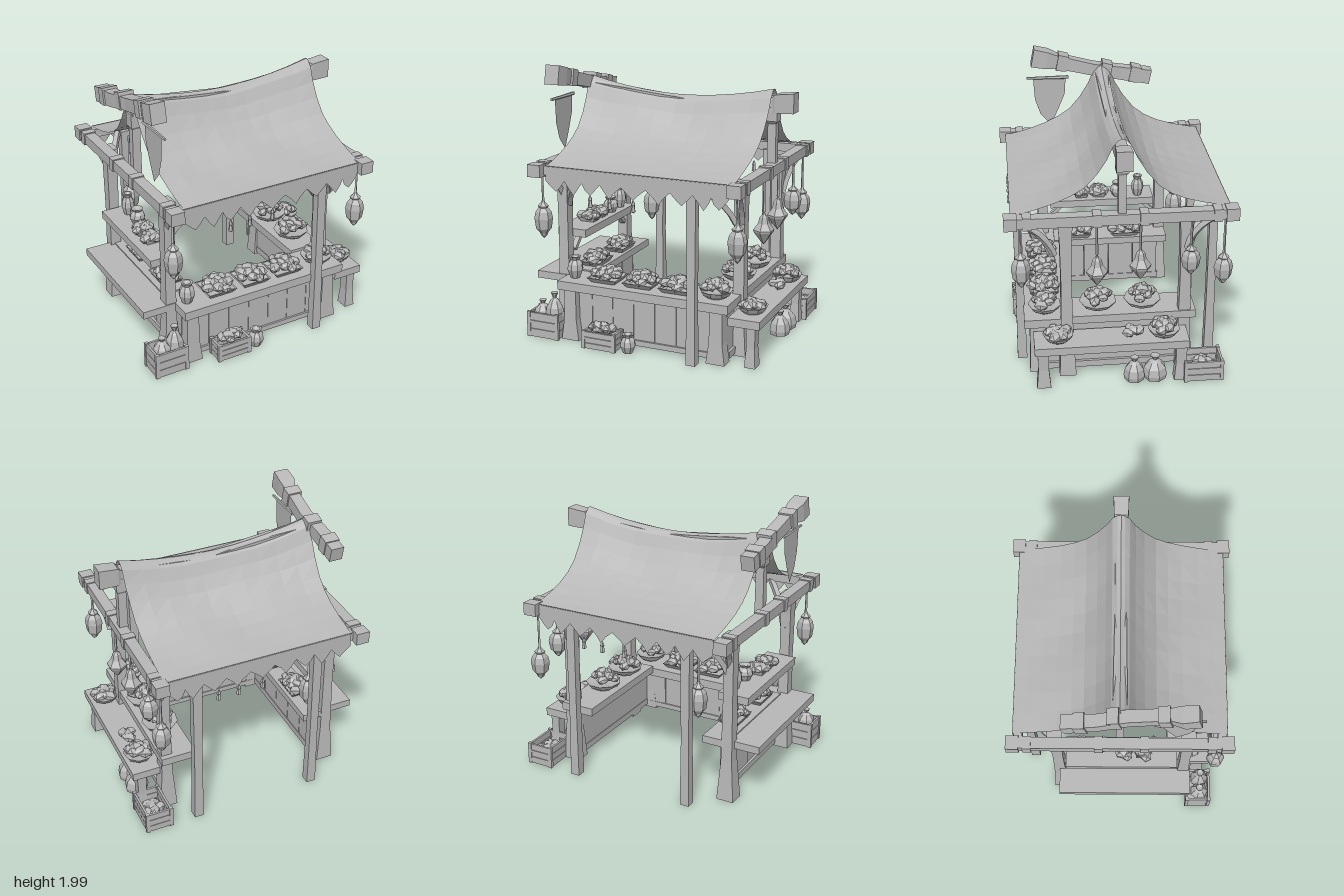
import * as THREE from 'three';

export function createModel() {
  const model = new THREE.Group();
  const grey = new THREE.MeshStandardMaterial({ color: 0xb8b8b8, flatShading: true, side: THREE.DoubleSide });
  let seed = 7;
  const rnd = () => (seed = (seed * 16807) % 2147483647) / 2147483647;
  const vary = (a, b) => a + (b - a) * rnd();

  function add(name, geometry, x = 0, y = 0, z = 0, parent = model) {
    const mesh = new THREE.Mesh(geometry, grey);
    mesh.name = name;
    mesh.position.set(x, y, z);
    parent.add(mesh);
    return mesh;
  }
  // Box given by its extents
  const block = (name, x0, x1, y0, y1, z0, z1) => add(name,
    new THREE.BoxGeometry(x1 - x0, y1 - y0, z1 - z0), (x0 + x1) / 2, (y0 + y1) / 2, (z0 + z1) / 2);

  // Squared timber through sections [y, width, depth, offsetX, offsetZ]
  function timber(sections) {
    const n = sections.length - 1;
    const g = new THREE.BoxGeometry(1, 1, 1, 1, n, 1), p = g.attributes.position;
    for (let i = 0; i < p.count; i++) {
      const [y, w, d, ox = 0, oz = 0] = sections[Math.round((p.getY(i) + 0.5) * n)];
      p.setXYZ(i, p.getX(i) * w + ox, y, p.getZ(i) * d + oz);
    }
    return g;
  }
  const lathe = (pts, sides) => new THREE.LatheGeometry(pts.map(([r, y]) => new THREE.Vector2(r, y)), sides);

  // Posts: slim ones under the eaves, flared ones at the counters
  for (const [x, z] of [[0.42, 0.7], [-0.45, -0.68], [0.47, -0.68]])
    add('slimPost', timber([[0, 0.07, 0.07], [0.5, 0.06, 0.06], [1.26, 0.07, 0.06]]), x, 0, z);
  for (const [x, z] of [[0.65, 0.38], [-0.68, 0.48], [0.63, -0.46], [-0.67, -0.46]])
    add('cornerPost', timber([[0, 0.13, 0.12], [0.3, 0.085, 0.09], [0.75, 0.075, 0.075], [1.1, 0.08, 0.085], [1.26, 0.09, 0.11]]), x, 0, z);

  // Roof frame: side rails with bindings, eave rails
  for (const s of [-1, 1]) {
    block('sideRail', s * 0.75 - 0.04, s * 0.75 + 0.04, 1.245, 1.32, -0.79, 0.79);
    for (const z of [-0.75, 0.75]) block('railEnd', s * 0.75 - 0.05, s * 0.75 + 0.05, 1.238, 1.328, z - 0.045, z + 0.045);
    for (const z of [0.64, 0.17, -0.15, -0.65]) block('railBinding', s * 0.75 - 0.047, s * 0.75 + 0.047, 1.237, 1.328, z - 0.03, z + 0.03);
    block('eaveRail', -0.72, 0.72, 1.25, 1.315, s * 0.71 - 0.03, s * 0.71 + 0.03);
  }
  // King posts under the ridge
  for (const x of [-0.67, 0.735])
    add('kingPost', timber([[1.25, 0.065, 0.055], [1.6, 0.06, 0.055], [1.62, 0.085, 0.085], [1.72, 0.085, 0.085]]), x);

  // Curved braces from the posts up to the rails
  function brace(ax, az, bx, bz) {
    const a = new THREE.Vector3(ax, 0.98, az), b = new THREE.Vector3(bx, 1.25, bz);
    const mid = new THREE.Vector3(ax * 0.7 + bx * 0.3, 1.17, az * 0.7 + bz * 0.3);
    add('brace', new THREE.TubeGeometry(new THREE.QuadraticBezierCurve3(a, mid, b), 5, 0.026, 4));
  }
  for (const s of [-1, 1]) {
    brace(s * 0.68, 0.46, s * 0.73, 0.68);
    brace(s * 0.66, -0.46, s * 0.73, -0.66);
    brace(s * 0.65, 0.48, s * 0.44, 0.7);
    brace(s * 0.65, -0.48, s * 0.5, -0.68);
  }

  // Ridge beam, slightly sagging, laid along x
  add('ridgeBeam', timber([[-0.7, 0.11, 0.1, -1.76], [0.1, 0.09, 0.08, -1.69], [0.74, 0.1, 0.08, -1.74],
    [0.76, 0.13, 0.1, -1.745], [0.9, 0.14, 0.11, -1.755]])).rotation.z = -Math.PI / 2;

  // Crooked beam with wrapped bands
  const crooked = new THREE.Group();
  crooked.name = 'crookedBeam';
  crooked.position.set(-0.74, 1.83, 0.06);
  crooked.rotation.x = 1.37;
  model.add(crooked);
  add('beamBody', timber([[-0.45, 0.1, 0.11], [-0.22, 0.09, 0.1, 0, 0.01], [0, 0.09, 0.09, 0.02, 0.01],
    [0.28, 0.085, 0.1, 0.01, 0], [0.36, 0.12, 0.13], [0.47, 0.11, 0.14]]), 0, 0, 0, crooked);
  for (const [y, x] of [[-0.33, 0], [-0.1, 0.02], [0.24, 0.01]])
    add('beamBand', timber([[-0.04, 0.11, 0.115], [0.04, 0.115, 0.125]]), x, y, 0, crooked);

  // Draped roof cloth
  const drape = new THREE.CatmullRomCurve3([[0.75, 1.315], [0.6, 1.345], [0.4, 1.41], [0.25, 1.5], [0.12, 1.67], [0.045, 1.82], [0, 1.845]]
    .map(([z, y]) => new THREE.Vector3(0, y, z)));
  const cloth = new THREE.PlaneGeometry(1.44, 2, 10, 20), cp = cloth.attributes.position;
  for (let i = 0; i < cp.count; i++) {
    const x = cp.getX(i), v = cp.getY(i), q = drape.getPoint(1 - Math.abs(v));
    const lift = Math.max(0, (q.y - 1.315) / 0.53);
    const sag = 0.085 * (1 - (x / 0.72) ** 2) * lift - 0.02 * lift * (x < 0 ? -x : 0);
    const fold = 0.008 * Math.sin(x * 9 + v * 7) * (1 - Math.abs(v)) * Math.abs(v) * 4;
    cp.setXYZ(i, x * (0.975 + 0.025 * lift) + 0.02, q.y - sag + fold, -Math.sign(v) * q.z);
  }
  add('roofCloth', cloth);

  // Scalloped valances with tassels at both eaves
  const tips = [-0.6, -0.46, -0.33, -0.18, 0, 0.19, 0.36, 0.52, 0.63];
  const edge = new THREE.Shape();
  edge.moveTo(-0.68, 1.32);
  edge.lineTo(-0.68, 1.21);
  tips.forEach((x, i) => {
    edge.lineTo(x - 0.04, 1.175);
    edge.lineTo(x, i % 2 ? 1.125 : 1.14);
    edge.lineTo(x + 0.035, 1.175);
    if (i < tips.length - 1) edge.lineTo((x + tips[i + 1]) / 2, 1.22);
  });
  edge.lineTo(0.7, 1.22);
  edge.lineTo(0.7, 1.32);
  for (const s of [-1, 1]) {
    add('valance', new THREE.ShapeGeometry(edge), 0, 0, s * 0.748);
    for (const x of [-0.33, -0.18, 0])
      add('tassel', lathe([[0, -0.09], [0.018, -0.08], [0.012, -0.04], [0.016, -0.03], [0.004, 0]], 5), x * s, 1.14, s * 0.745);
  }

  // Pennant hanging under the crooked beam
  const flag = new THREE.Shape([[-0.52, 1.75], [-0.27, 1.76], [-0.28, 1.62], [-0.33, 1.5], [-0.39, 1.37], [-0.47, 1.46], [-0.51, 1.58]]
    .map(([x, y]) => new THREE.Vector2(x, y)));
  add('pennant', new THREE.ShapeGeometry(flag), -0.72).rotation.y = Math.PI / 2;
  add('pennantRod', new THREE.CylinderGeometry(0.01, 0.014, 0.32, 5), -0.72, 1.755, 0.41).rotation.x = Math.PI / 2;

  // Hanging lanterns, tall or broad-bottomed, as [radius, height] fractions
  const tall = [[0, 0], [0.35, 0.08], [0.45, 0.14], [0.85, 0.25], [1, 0.5], [0.85, 0.66], [0.5, 0.76], [0.6, 0.8], [0.25, 0.88], [0, 1]];
  const broad = [[0, 0], [0.25, 0.08], [0.95, 0.36], [1, 0.42], [0.55, 0.6], [0.4, 0.78], [0.15, 0.85], [0, 1]];
  for (const [x, z, y0, y1, r, form] of [[-0.74, 0.69, 0.77, 1.07, 0.066, tall], [0.74, 0.69, 0.77, 1.07, 0.068, tall],
    [0.74, 0.17, 0.76, 1.02, 0.076, broad], [0.74, -0.13, 0.79, 1.06, 0.076, broad], [0.74, -0.48, 0.81, 1.06, 0.068, tall],
    [0.74, -0.71, 0.72, 0.99, 0.068, tall], [-0.47, -0.55, 0.62, 0.92, 0.066, tall]]) {
    add('lantern', lathe(form.map(([a, b]) => [a * r, b * (y1 - y0)]), 6), x, y0, z);
    add('lanternCord', new THREE.CylinderGeometry(0.008, 0.01, 1.29 - y1, 4), x, (1.25 + y1) / 2, z);
  }

  // Front counter with plank panel and splayed legs
  block('frontCounter', -0.65, 0.67, 0.39, 0.455, 0.36, 0.68);
  for (let i = 0; i < 7; i++) {
    const x = -0.58 + i * 0.166;
    block('frontPlank', x, x + 0.163, 0.04, 0.39, 0.555 + (i % 2) * 0.005, 0.585);
  }
  block('frontSill', -0.56, 0.56, 0.02, 0.06, 0.55, 0.6);
  for (const x of [-0.57, 0.57])
    add('frontLeg', timber([[0, 0.14, 0.1], [0.15, 0.1, 0.09], [0.4, 0.09, 0.08]]), x, 0, 0.6);

  // Left side: inner counter, panel and lower outer bench
  block('leftCounter', 0.42, 0.68, 0.415, 0.475, -0.54, 0.36);
  block('leftPanel', 0.59, 0.62, 0.04, 0.415, -0.42, 0.56);
  block('leftSill', 0.585, 0.64, 0.02, 0.07, -0.45, 0.55);
  block('leftBench', 0.65, 0.88, 0.29, 0.35, -0.47, 0.62);
  for (const z of [0.56, -0.42])
    add('benchLeg', timber([[0, 0.08, 0.1], [0.14, 0.06, 0.075], [0.3, 0.07, 0.08]]), 0.81, 0, z);

  // Right side: counter, panel and shelf on brackets
  block('rightOuterCounter', -0.9, -0.62, 0.4, 0.455, -0.46, 0.53);
  block('rightInnerCounter', -0.68, -0.48, 0.41, 0.465, -0.5, 0.4);
  for (let i = 0; i < 5; i++)
    block('rightPlank', -0.62 - (i % 2) * 0.005, -0.59, 0.04, 0.41, -0.44 + i * 0.2, -0.245 + i * 0.2);
  block('rightSill', -0.64, -0.585, 0.02, 0.07, -0.45, 0.55);
  block('shelf', -0.78, -0.55, 0.72, 0.778, -0.4, 0.42);
  for (const z of [0.34, -0.34])
    add('shelfBracket', new THREE.BoxGeometry(0.04, 0.18, 0.03), -0.66, 0.68, z).rotation.x = z > 0 ? -0.8 : 0.8;

  // Heaps of produce on trays and in bowls
  function heap(x, y, z, rx, rz, h, count = 10) {
    for (let i = 0; i < count; i++) {
      const a = i * 2.4, t = Math.sqrt((i + 0.3) / count) * 0.85, r = vary(0.034, 0.045);
      const lump = add('produce', new THREE.IcosahedronGeometry(r, 0),
        x + Math.cos(a) * t * rx, y + (1 - t * t) * h + 0.01, z + Math.sin(a) * t * rz);
      lump.rotation.y = rnd() * 6;
      lump.scale.set(1.25, 0.85, 1);
    }
  }
  function tray(x, y, z, rx, rz, h) {
    const t = add('tray', lathe([[0, 0], [1.05, 0], [1.38, 0.035], [1.25, 0.035], [1, 0.012], [0, 0.012]], 4), x, y, z);
    t.geometry.rotateY(Math.PI / 4);
    t.scale.set(rx, 1, rz);
    heap(x, y + 0.025, z, rx, rz, h, 12);
  }
  function bowl(x, y, z, r, h) {
    add('bowl', lathe([[0, 0], [0.55 * r, 0], [0.85 * r, 0.025], [r, 0.055], [0.9 * r, 0.05], [0, 0.03]], 9), x, y, z);
    heap(x, y + 0.045, z, r * 0.75, r * 0.75, h);
  }
  for (const x of [-0.32, -0.04, 0.24]) tray(x, 0.455, 0.52, 0.12, 0.11, 0.05);
  bowl(0.53, 0.455, 0.53, 0.12, 0.055);
  bowl(0.55, 0.475, 0.15, 0.135, 0.065);
  bowl(0.55, 0.475, -0.17, 0.135, 0.075);
  bowl(0.77, 0.35, 0.45, 0.11, 0.01);
  bowl(0.77, 0.35, -0.3, 0.115, 0.04);
  heap(0.77, 0.375, -0.08, 0.06, 0.06, 0.02, 4);
  for (const z of [0.22, -0.17]) tray(-0.57, 0.465, z, 0.085, 0.12, 0.05);
  for (const z of [0.17, 0.03]) tray(-0.65, 0.775, z, 0.07, 0.055, 0.02);

  // Pots and jars
  const jar = (name, x, y, z, r, h) => add(name, lathe([[0, 0], [0.6 * r, 0], [r, 0.4 * h], [0.9 * r, 0.65 * h],
    [0.55 * r, 0.85 * h], [0.75 * r, h], [0.5 * r, h], [0, 0.85 * h]], 8), x, y, z);
  jar('floorJar', -0.08, 0, 0.69, 0.058, 0.14);
  jar('counterJar', -0.57, 0.455, 0.55, 0.06, 0.16);
  jar('shelfPot', -0.62, 0.775, -0.12, 0.06, 0.12);
  jar('shelfPot', -0.62, 0.775, -0.28, 0.05, 0.17);

  // Slatted crates
  function crate(x, z, w, d, h) {
    for (const s of [-1, 1]) {
      for (let i = 0; i < 3; i++) {
        const y = (i * h) / 3 + 0.003, top = y + h / 3 - 0.004;
        block('crateSlat', x - w / 2, x + w / 2, y, top, z + s * d / 2 - 0.008, z + s * d / 2 + 0.008);
        block('crateSlat', x + s * w / 2 - 0.008, x + s * w / 2 + 0.008, y, top, z - d / 2, z + d / 2);
      }
      for (const t of [-1, 1]) block('cratePost', x + s * w / 2 - 0.014, x + s * w / 2 + 0.014, 0, h + 0.005, z + t * d / 2 - 0.012, z + t * d / 2 + 0.012);
    }
    block('crateFloor', x - w / 2, x + w / 2, 0.01, 0.03, z - d / 2, z + d / 2);
  }
  crate(-0.29, 0.68, 0.24, 0.12, 0.13);
  heap(-0.29, 0.12, 0.68, 0.1, 0.04, 0.04, 7);
  crate(0.78, -0.58, 0.18, 0.26, 0.16);
  heap(0.78, 0.07, -0.58, 0.06, 0.08, 0.03, 6);
  crate(-0.77, 0.61, 0.23, 0.17, 0.19);

  // Tied sacks
  const sack = (x, y, z, r, h) => add('sack', lathe([[0, 0], [0.9 * r, 0], [r, 0.2 * h], [0.88 * r, 0.5 * h],
    [0.5 * r, 0.72 * h], [0.18 * r, 0.82 * h], [0.4 * r, h], [0, 0.95 * h]], 7), x, y, z);
  sack(0.79, 0, -0.09, 0.078, 0.18);
  sack(0.78, 0, -0.24, 0.09, 0.18);
  sack(-0.71, 0.12, 0.62, 0.07, 0.22);
  sack(-0.81, 0.12, 0.62, 0.07, 0.15);

  return model;
}
